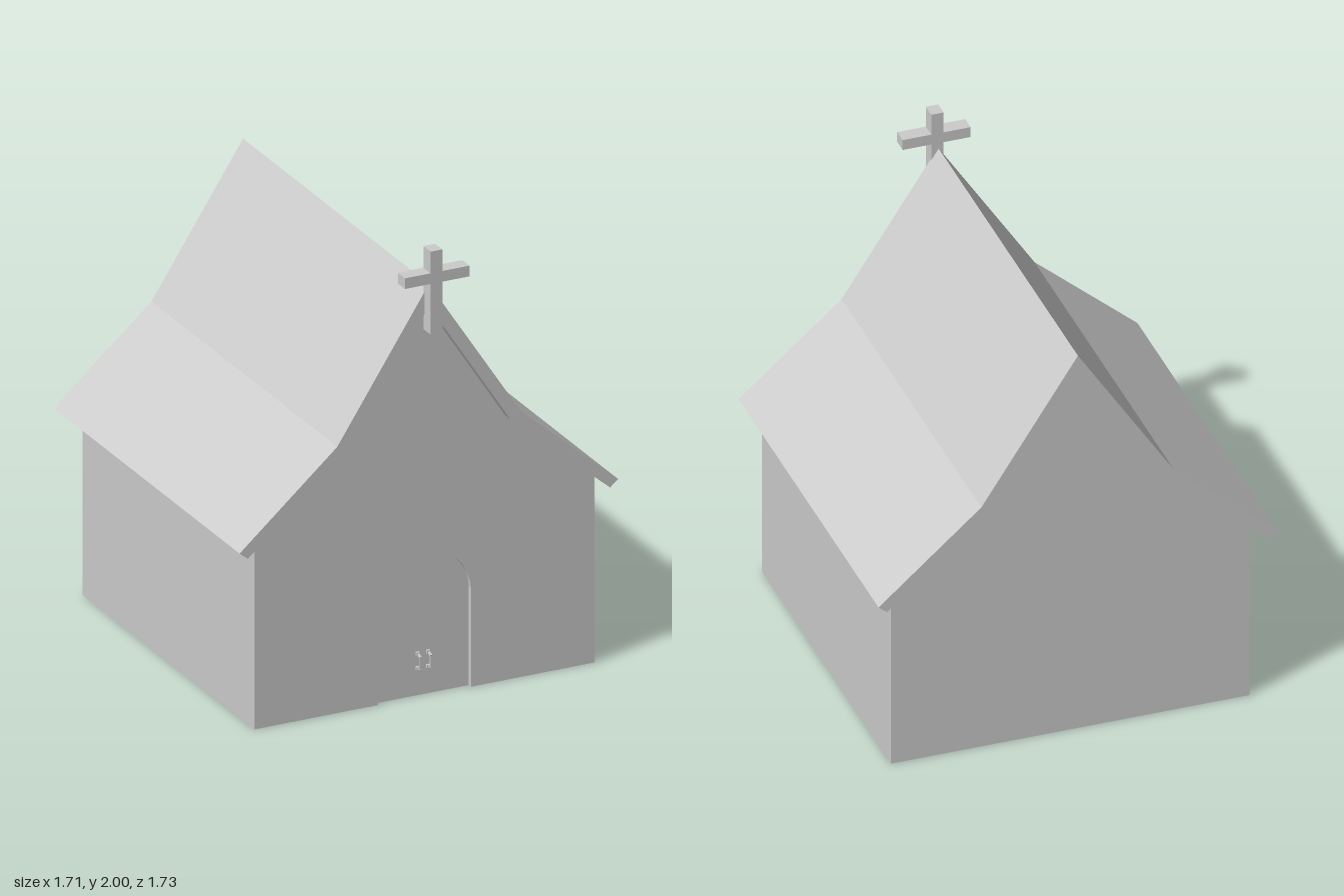
import * as THREE from 'three';

const grey = new THREE.MeshStandardMaterial({ color: 0xcccccc, flatShading: true });

function add(parent, name, geometry, x = 0, y = 0, z = 0) {
  const mesh = new THREE.Mesh(geometry, grey);
  mesh.name = name;
  mesh.position.set(x, y, z);
  parent.add(mesh);
  return mesh;
}

// Box given by its min and max corners
function addBox(parent, name, [x0, y0, z0], [x1, y1, z1]) {
  return add(parent, name, new THREE.BoxGeometry(x1 - x0, y1 - y0, z1 - z0),
    (x0 + x1) / 2, (y0 + y1) / 2, (z0 + z1) / 2);
}

const polygon = (points) => new THREE.Shape(points.map(([x, y]) => new THREE.Vector2(x, y)));

// Shape in the x-y plane extruded between two z values
function addSlab(parent, name, shape, z0, z1) {
  const geometry = new THREE.ExtrudeGeometry(shape, { depth: z1 - z0, bevelEnabled: false, curveSegments: 24 });
  return add(parent, name, geometry, 0, 0, z0);
}

// Main dimensions
const left = 0.775, right = -0.765, front = 0.76, back = -0.79, wall = 0.06;
const doorX = 0.005, doorRadius = 0.21, doorSpring = 0.425;

// Underside of the bent roof at a given x below the bend
const eaveY = (x) => 0.78 + (0.82 - Math.abs(x)) * (1.165 - 0.78) / (0.82 - 0.37);

// House outline, optionally notched by the arched doorway
function gableShape(withDoorway) {
  const shape = new THREE.Shape();
  shape.moveTo(right, 0);
  if (withDoorway) {
    shape.lineTo(doorX - doorRadius, 0);
    shape.lineTo(doorX - doorRadius, doorSpring);
    shape.absarc(doorX, doorSpring, doorRadius, Math.PI, 0, true);
    shape.lineTo(doorX + doorRadius, 0);
  }
  shape.lineTo(left, 0);
  shape.lineTo(left, eaveY(left));
  shape.lineTo(0.37, 1.165);
  shape.lineTo(0, 1.735);
  shape.lineTo(-0.37, 1.165);
  shape.lineTo(right, eaveY(right));
  shape.closePath();
  return shape;
}

function doorShape() {
  const shape = new THREE.Shape();
  shape.moveTo(doorX - doorRadius, 0);
  shape.lineTo(doorX + doorRadius, 0);
  shape.lineTo(doorX + doorRadius, doorSpring);
  shape.absarc(doorX, doorSpring, doorRadius, 0, Math.PI, false);
  shape.closePath();
  return shape;
}

export function createModel() {
  const chapel = new THREE.Group();
  chapel.name = 'chapel';

  // Hollow shell: two gable walls and two side walls, open underneath
  addSlab(chapel, 'frontWall', gableShape(true), front - wall, front);
  addSlab(chapel, 'backWall', gableShape(false), back, back + wall);
  for (const [name, outer, inner] of [['leftWall', left, left - wall], ['rightWall', right, right + wall]]) {
    const corners = [[inner, 0], [outer, 0], [outer, eaveY(outer)], [inner, eaveY(inner)]];
    addSlab(chapel, name, polygon(corners), back + wall, front - wall);
  }

  // Roof: one bent sheet with overhanging eaves
  const outerEdge = [[0.415, 1.195], [0.857, 0.81]];
  const innerEdge = [[0.82, 0.78], [0.37, 1.165]];
  const mirror = (points) => points.map(([x, y]) => [-x, y]).reverse();
  const roofProfile = [[0, 1.832], ...outerEdge, ...innerEdge, [0, 1.735],
    ...mirror(innerEdge), ...mirror(outerEdge)];
  addSlab(chapel, 'roof', polygon(roofProfile), -0.867, 0.81);

  // Door set back in the arched doorway
  addSlab(chapel, 'door', doorShape(), 0.715, 0.74);

  // Pair of pull handles
  for (const side of [-1, 1]) {
    const handle = new THREE.Group();
    handle.name = side > 0 ? 'leftHandle' : 'rightHandle';
    handle.position.set(doorX + side * 0.024, 0.153, 0.74);
    for (const end of [-1, 1]) {
      add(handle, 'handleMount', new THREE.BoxGeometry(0.015, 0.015, 0.012), 0, end * 0.032, 0.006);
      const arm = add(handle, 'handleArm', new THREE.BoxGeometry(0.009, 0.009, 0.026), 0, end * 0.028, 0.019);
      arm.rotation.x = end * 0.35;
    }
    add(handle, 'handleBar', new THREE.BoxGeometry(0.009, 0.05, 0.008), 0, 0, 0.03);
    chapel.add(handle);
  }

  // Cross on the front of the ridge
  const crossShape = polygon([
    [-0.021, 1.635], [0.032, 1.635], [0.032, 1.858], [0.155, 1.858], [0.155, 1.905], [0.032, 1.905],
    [0.032, 2], [-0.021, 2], [-0.021, 1.905], [-0.137, 1.905], [-0.137, 1.858], [-0.021, 1.858],
  ]);
  addSlab(chapel, 'cross', crossShape, 0.802, 0.867);

  return chapel;
}
